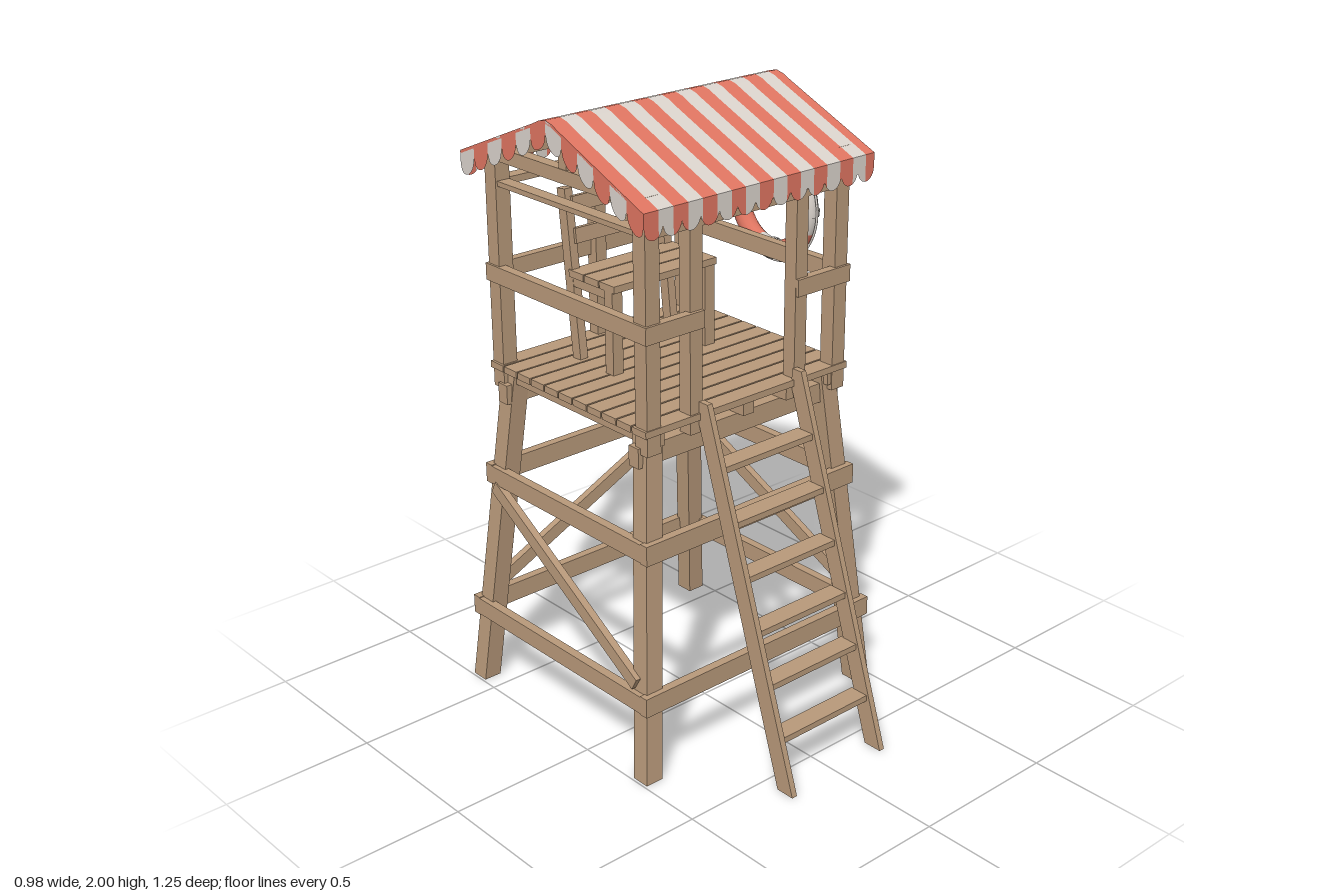
import * as THREE from 'three';
import { mergeGeometries } from 'three/addons/utils/BufferGeometryUtils.js';

const C = -0.17; // z of the tower's centre line

export function createModel() {
  const root = new THREE.Group();
  root.name = 'lifeguardTower';
  const material = (name, color, side = THREE.FrontSide) => {
    const m = new THREE.MeshStandardMaterial({ color, side });
    m.name = name;
    return m;
  };
  const wood = material('wood', 0xb8997a);
  const red = material('coralRed', 0xdf7561, THREE.DoubleSide);
  const white = material('offWhite', 0xdad3cc, THREE.DoubleSide);

  const group = (name) => {
    const g = new THREE.Group();
    g.name = name;
    root.add(g);
    return g;
  };
  const add = (parent, name, geo, mat = wood) => {
    const m = new THREE.Mesh(geo, mat);
    m.name = name;
    parent.add(m);
    return m;
  };
  // Box from its extents
  const box = (parent, name, x0, x1, y0, y1, z0, z1) => {
    const m = add(parent, name, new THREE.BoxGeometry(x1 - x0, y1 - y0, z1 - z0));
    m.position.set((x0 + x1) / 2, (y0 + y1) / 2, (z0 + z1) / 2);
    return m;
  };
  // Bar from a to b: w wide in its face, d thick along the outward direction
  const bar = (parent, name, a, b, w, d, out) => {
    const A = new THREE.Vector3(...a), B = new THREE.Vector3(...b);
    const y = B.clone().sub(A), len = y.length();
    y.normalize();
    const x = y.clone().cross(new THREE.Vector3(...out)).normalize();
    const m = add(parent, name, new THREE.BoxGeometry(w, len, d));
    m.quaternion.setFromRotationMatrix(new THREE.Matrix4().makeBasis(x, y, x.clone().cross(y)));
    m.position.copy(A.add(B).multiplyScalar(0.5));
    return m;
  };
  // Four boards around the tower, outer half sizes hx and hz
  const ring = (parent, name, hx, hz, y0, y1, t) => {
    for (const s of [-1, 1]) {
      const z = C + s * (hz - t / 2), x = s * (hx - t / 2);
      box(parent, name + 'Cross', -hx, hx, y0, y1, z - t / 2, z + t / 2);
      box(parent, name + 'Side', x - t / 2, x + t / 2, y0 + 0.003, y1 - 0.003, C - hz + t, C + hz - t);
    }
  };

  // Splayed legs, level at foot and top
  const base = group('base');
  for (const sx of [-1, 1]) for (const sz of [-1, 1]) {
    const g = new THREE.BoxGeometry(0.062, 1.11, 0.062).translate(0, 0.555, 0);
    const p = g.attributes.position;
    for (let i = 0; i < p.count; i++) {
      const k = 0.1 * p.getY(i) / 1.11;
      p.setX(i, p.getX(i) + sx * (0.46 - k));
      p.setZ(i, p.getZ(i) + C + sz * (0.42 - k));
    }
    g.computeVertexNormals();
    add(base, 'leg', g);
  }
  ring(base, 'lowerBrace', 0.482, 0.443, 0.237, 0.302, 0.03);
  ring(base, 'upperBrace', 0.437, 0.4, 0.722, 0.788, 0.03);
  for (const s of [-1, 1]) {
    bar(base, 'sideDiagonal', [s * 0.465, 0.325, 0.21], [s * 0.428, 0.715, -0.53], 0.045, 0.025, [s, 0, 0]);
  }
  bar(base, 'backDiagonal', [-0.4, 0.325, C - 0.425], [0.37, 0.715, C - 0.388], 0.045, 0.025, [0, 0, -1]);

  // Platform: cross beams, joists and planks
  const deck = group('platform');
  for (const s of [-1, 1]) {
    const z = C + s * 0.32;
    box(deck, 'crossBeam', -0.415, 0.415, 1.015, 1.08, z - 0.022, z + 0.022);
  }
  for (let i = -2; i <= 2; i++) {
    const x = i * 0.18;
    box(deck, 'joist', x - 0.022, x + 0.022, 1.08, 1.122, C - 0.37, C + 0.37);
  }
  for (let i = 0; i < 11; i++) {
    const z = C - 0.38 + i * 0.0691;
    box(deck, 'plank', -0.415, 0.415, 1.122, 1.144, z + 0.003, z + 0.066);
  }

  // Cabin frame: posts, railings and roof beams
  const cabin = group('cabin');
  const post = (name, x, z, w, y0, y1) => box(cabin, name, x - w / 2, x + w / 2, y0, y1, z - w / 2, z + w / 2);
  for (const sx of [-1, 1]) {
    for (const sz of [-1, 1]) post('cornerPost', sx * 0.38, C + sz * 0.347, 0.053, 1.06, 1.847);
    post('entryPost', sx * 0.213, C + 0.347, 0.048, 1.08, 1.74);
    const x0 = sx * 0.398;
    box(cabin, 'sideRail', x0 - 0.016, x0 + 0.016, 1.413, 1.468, C - 0.381, C + 0.381);
    const a = sx * 0.19, b = sx * 0.413;
    box(cabin, 'frontRail', Math.min(a, b), Math.max(a, b), 1.413, 1.468, C + 0.352, C + 0.382);
    box(cabin, 'gableBeam', sx * 0.38 - 0.02, sx * 0.38 + 0.02, 1.802, 1.845, C - 0.345, C + 0.345);
    post('kingPost', sx * 0.38, C, 0.036, 1.84, 1.97);
  }
  box(cabin, 'backRail', -0.413, 0.413, 1.413, 1.468, C - 0.382, C - 0.352);
  post('backPost', 0, C - 0.347, 0.042, 1.08, 1.74);
  ring(cabin, 'topPlate', 0.4, 0.37, 1.72, 1.742, 0.045);
  for (const s of [-1, 1]) {
    box(cabin, 'eaveBeam', -0.38, 0.38, 1.8, 1.84, C + s * 0.347 - 0.02, C + s * 0.347 + 0.02);
  }
  box(cabin, 'ridgeBeam', -0.4, 0.4, 1.935, 1.975, C - 0.018, C + 0.018);

  // High chair with a leaning back
  const chair = group('chair');
  const leanZ = (y) => -0.375 - (y - 1.144) * 0.107;
  for (const s of [-1, 1]) {
    const x = s * 0.19;
    bar(chair, 'chairUpright', [x, 1.144, leanZ(1.144)], [x, 1.69, leanZ(1.69)], 0.03, 0.038, [0, 0, 1]);
    box(chair, 'chairLeg', x - 0.02, x + 0.02, 1.144, 1.415, -0.225, -0.187);
    box(chair, 'seatBearer', x - 0.014, x + 0.014, 1.385, 1.415, -0.4, -0.19);
  }
  for (let i = 0; i < 3; i++) {
    box(chair, 'seatSlat', -0.21, 0.21, 1.415, 1.438, -0.248 - i * 0.075, -0.178 - i * 0.075);
  }
  for (const y of [1.542, 1.642]) {
    bar(chair, 'backSlat', [0, y - 0.024, leanZ(y - 0.024) + 0.02], [0, y + 0.024, leanZ(y + 0.024) + 0.02], 0.37, 0.018, [0, 0, 1]);
  }

  // Ladder: slanted rails and level treads
  const ladder = group('ladder');
  const railShape = new THREE.Shape(
    [[0.625, 0], [0.56, 0], [0.195, 1.125], [0.2, 1.18], [0.238, 1.18]].map(([z, y]) => new THREE.Vector2(-z, y)));
  for (const s of [-1, 1]) {
    const g = new THREE.ExtrudeGeometry(railShape, { depth: 0.02, bevelEnabled: false });
    g.rotateY(Math.PI / 2).translate(s * 0.193 - 0.01, 0, 0);
    add(ladder, 'ladderRail', g);
  }
  for (let i = 0; i < 6; i++) {
    const y = 0.165 + i * 0.163, z = 0.581 - 0.327 * y;
    box(ladder, 'tread', -0.185, 0.185, y - 0.01, y + 0.01, z - 0.033, z + 0.033);
  }

  // Striped awning with a softly rounded ridge
  const awning = group('awning');
  const HX = 0.455, HZ = 0.427, STRIPE = 0.0546;
  const profile = [[0, 2], [0.03, 1.993], [0.06, 1.979], [HZ, 1.824]];
  const roofY = (s) => {
    const d = Math.min(Math.abs(s), HZ);
    let i = 0;
    while (i < 2 && d > profile[i + 1][0]) i++;
    const [a, b] = [profile[i], profile[i + 1]];
    return a[1] + (b[1] - a[1]) * (d - a[0]) / (b[0] - a[0]);
  };
  const half = profile.slice(1);
  const top = [...half.map(([s, y]) => [-s, y]).reverse(), ...profile];
  const slab = new THREE.Shape(
    [...top, ...top.map(([s, y]) => [s, y - 0.01]).reverse()].map(([s, y]) => new THREE.Vector2(s, y)));
  // Piece of scalloped hem from a to b, hanging below topFn
  const hem = (a, b, topFn, start, width) => {
    const N = 14, pts = [];
    for (let i = 0; i <= N; i++) {
      const u = a + (b - a) * i / N;
      let f = (u - start) / width;
      f = f - Math.floor(f + 1e-6);
      const r = Math.sqrt(Math.max(0, 1 - (2 * f - 1) ** 2));
      pts.push(new THREE.Vector2(u, topFn(u) - 0.042 - 0.042 * r));
    }
    for (let i = N; i >= 0; i--) {
      const u = a + (b - a) * i / N;
      pts.push(new THREE.Vector2(u, topFn(u) - 0.001));
    }
    return new THREE.ShapeGeometry(new THREE.Shape(pts));
  };
  const roofParts = [[], []], hemParts = [[], []];
  for (let i = 0; i < 17; i++) {
    const x0 = -HX + i * STRIPE, x1 = Math.min(x0 + STRIPE, HX);
    const g = new THREE.ExtrudeGeometry(slab, { depth: x1 - x0, bevelEnabled: false });
    roofParts[i % 2].push(g.rotateY(Math.PI / 2).translate(x0, 0, C));
    for (const s of [-1, 1]) {
      hemParts[i % 2].push(hem(x0, x1, () => 1.824, -HX, HX / 6.5).translate(0, 0, C + s * HZ));
    }
  }
  const scallop = HZ / 6;
  for (let i = 0; i < 12; i++) for (const s of [-1, 1]) {
    const a = -HZ + i * scallop;
    hemParts[i % 2].push(hem(a, a + scallop, roofY, -HZ, scallop).rotateY(Math.PI / 2).translate(s * HX, 0, C));
  }
  [red, white].forEach((mat, i) => {
    add(awning, 'awningStripes', mergeGeometries(roofParts[i]), mat);
    add(awning, 'scallopedHem', mergeGeometries(hemParts[i]), mat);
  });

  // Lifebuoy on the +x railing: eight segments, four straps and a rope
  const buoy = group('lifebuoy');
  buoy.position.set(0.45, 1.575, C);
  buoy.rotation.y = Math.PI / 2;
  const arc = (name, R, r, from, angle, mat, sides = 14, steps = 10) =>
    add(buoy, name, new THREE.TorusGeometry(R, r, sides, steps, angle).rotateZ(from), mat);
  for (let i = 0; i < 8; i++) {
    arc('buoySegment', 0.158, 0.032, (i - 0.5) * Math.PI / 4, Math.PI / 4, i % 2 ? red : white);
  }
  for (let i = 0; i < 4; i++) arc('strap', 0.158, 0.036, i * Math.PI / 2 - 0.06, 0.12, white, 14, 3);
  arc('rope', 0.197, 0.004, 0, Math.PI * 2, white, 6, 48);
  return root;
}
